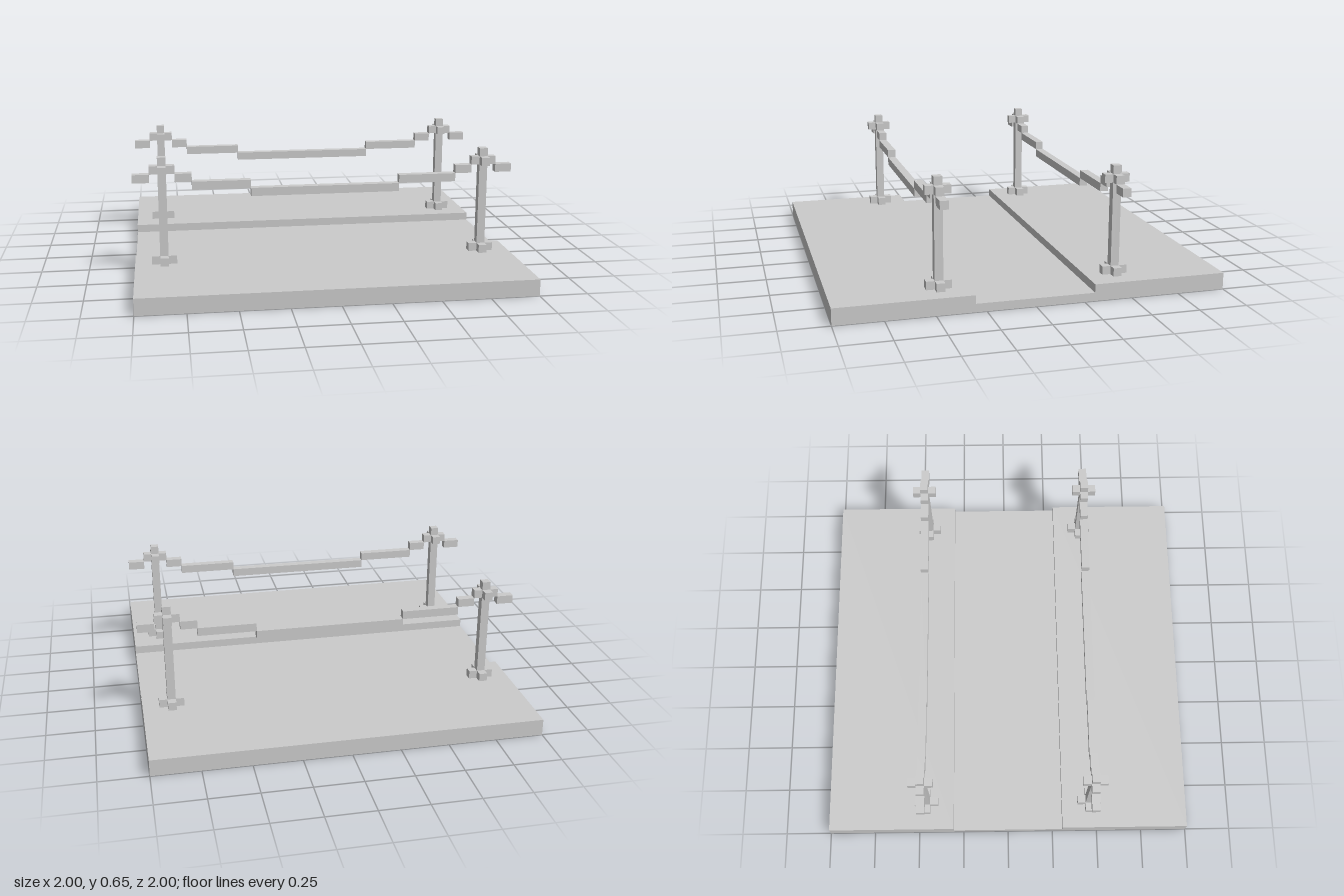
import * as THREE from 'three';

const U = 1 / 23; // block unit: the base is 46 units wide
const material = new THREE.MeshStandardMaterial({ color: 0xcccccc, flatShading: true });

// Box given by its extents in block units
function block(name, x0, x1, y0, y1, z0, z1) {
  const geometry = new THREE.BoxGeometry((x1 - x0) * U, (y1 - y0) * U, (z1 - z0) * U);
  const mesh = new THREE.Mesh(geometry, material);
  mesh.name = name;
  mesh.position.set((x0 + x1) / 2 * U, (y0 + y1) / 2 * U, (z0 + z1) / 2 * U);
  return mesh;
}

// Slab with a sunken path running along x
function createBase() {
  const profile = [[-23, 0], [23, 0], [23, 2], [7, 2], [7, 1], [-7, 1], [-7, 2], [-23, 2]];
  const shape = new THREE.Shape(profile.map(([z, y]) => new THREE.Vector2(z * U, y * U)));
  const geometry = new THREE.ExtrudeGeometry(shape, { depth: 46 * U, bevelEnabled: false });
  geometry.translate(0, 0, -23 * U).rotateY(Math.PI / 2);
  const mesh = new THREE.Mesh(geometry, material);
  mesh.name = 'base';
  return mesh;
}

// Post centred on its own axis, with four blocks around the foot and the top
function createPost() {
  const post = new THREE.Group();
  post.name = 'post';
  post.add(block('shaft', -0.5, 0.5, 2, 15, -0.5, 0.5));
  for (const [name, y] of [['foot', 2], ['collar', 13]]) {
    for (const s of [-1, 1]) {
      post.add(block(name, s - 0.5, s + 0.5, y, y + 1, -0.5, 0.5));
      post.add(block(name, -0.5, 0.5, y, y + 1, s - 0.5, s + 0.5));
    }
  }
  return post;
}

// Stepped rope sagging between the posts and continuing past them
function createRope() {
  const rope = new THREE.Group();
  rope.name = 'rope';
  rope.add(block('ropeMiddle', -9, 9, 10, 11, -0.5, 0.5));
  for (const [x0, x1, y] of [[9, 16, 11], [16, 18, 12], [21, 23, 12]]) {
    rope.add(block('ropeStep', x0, x1, y, y + 1, -0.5, 0.5));
    rope.add(block('ropeStep', -x1, -x0, y, y + 1, -0.5, 0.5));
  }
  return rope;
}

export function createModel() {
  const model = new THREE.Group();
  model.name = 'ropeFencedPath';
  model.add(createBase());
  for (const side of [-1, 1]) {
    const fence = new THREE.Group();
    fence.name = side > 0 ? 'frontFence' : 'backFence';
    fence.position.z = side * 10.5 * U;
    fence.add(createRope());
    for (const end of [-1, 1]) {
      const post = createPost();
      post.position.x = end * 19.5 * U;
      fence.add(post);
    }
    model.add(fence);
  }
  return model;
}
